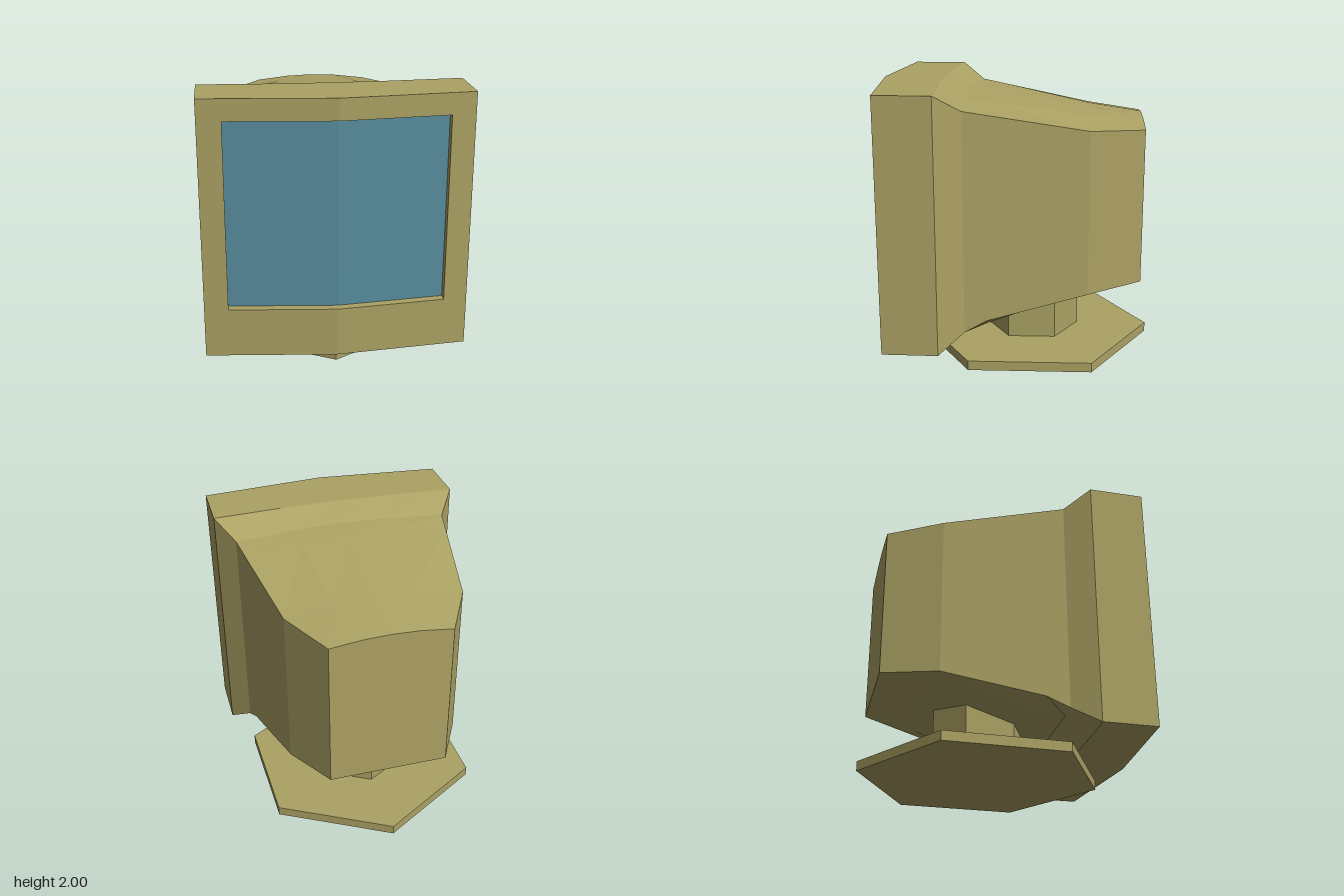
import * as THREE from 'three';

const casing = new THREE.MeshStandardMaterial({ color: 0xaca264, flatShading: true });
const glass = new THREE.MeshStandardMaterial({ color: 0x588d9e, flatShading: true });

// Skin a list of equal-length closed rings; collapsed rings make a fan
function loft(rings) {
  const pos = [];
  const tri = (a, b, c) => {
    if (a.equals(b) || b.equals(c) || a.equals(c)) return;
    for (const p of [a, b, c]) pos.push(p.x, p.y, p.z);
  };
  for (let i = 0; i < rings.length - 1; i++) {
    const f = rings[i], k = rings[i + 1], n = f.length;
    for (let j = 0; j < n; j++) {
      const m = (j + 1) % n;
      tri(f[j], f[m], k[m]);
      tri(f[j], k[m], k[j]);
    }
  }
  const g = new THREE.BufferGeometry();
  g.setAttribute('position', new THREE.Float32BufferAttribute(pos, 3));
  g.computeVertexNormals();
  return g;
}

const V = (x, y, z) => new THREE.Vector3(x, y, z);
const collapsed = (n, x, y, z) => Array.from({ length: n }, () => V(x, y, z));

// Housing cross-section: crowned top edge, then the belly from left to right
function section({ z, w, top, crown = 0, edge, belly, bulge = 0, power = 2 }) {
  const bow = t => z + bulge * (1 - Math.abs(t) ** power);
  return [
    ...[-1, -0.45, 0, 0.45, 1].map(t => V(t * w, top + crown * (1 - t * t), bow(t))),
    ...[1, 0.8, 0, -0.8, -1].map(t => V(t * w, Math.abs(t) === 1 ? edge : belly, bow(t))),
  ];
}

// Six-point rectangle folded along its vertical centre line
function foldedRect(w, y0, y1, inset) {
  const z = x => 0.91 + 0.085 * (1 - Math.abs(x) / 0.915) - inset;
  return [[-w, y1], [0, y1], [w, y1], [w, y0], [0, y0], [-w, y0]].map(([x, y]) => V(x, y, z(x)));
}

export function createModel() {
  const model = new THREE.Group();
  model.name = 'monitor';
  const add = (name, geometry, material = casing) => {
    const mesh = new THREE.Mesh(geometry, material);
    mesh.name = name;
    model.add(mesh);
    return mesh;
  };

  // Housing, front to back, closed by a flat rear panel
  const sections = [
    { z: 0.91, w: 0.915, top: 2, edge: 0.17, belly: 0.17, bulge: 0.085, power: 1 },
    { z: 0.51, w: 0.915, top: 2, edge: 0.17, belly: 0.17, bulge: 0.04 },
    { z: 0.335, w: 0.79, top: 1.88, crown: 0.025, edge: 0.3, belly: 0.3, bulge: 0.035 },
    { z: 0.18, w: 0.763, top: 1.852, crown: 0.03, edge: 0.38, belly: 0.305 },
    { z: -0.53, w: 0.635, top: 1.725, crown: 0.06, edge: 0.545, belly: 0.53 },
    { z: -0.915, w: 0.43, top: 1.7, crown: 0.035, edge: 0.58, belly: 0.58 },
  ].map(section);
  add('housing', loft([...sections, collapsed(10, 0, 1.14, -0.915)]));

  // Bezel with its recessed opening
  const recess = foldedRect(0.75, 0.52, 1.85, 0.06);
  add('bezel', loft([recess, foldedRect(0.75, 0.52, 1.85, 0), foldedRect(0.915, 0.17, 2, 0)]));

  // Screen
  add('screen', loft([collapsed(6, 0, 1.185, recess[1].z), recess]), glass);

  // Hexagonal stand
  for (const [name, radius, y0, y1] of [['neck', 0.35, 0.07, 0.56], ['base', 0.885, 0, 0.07]]) {
    const part = add(name, new THREE.CylinderGeometry(radius, radius, y1 - y0, 6));
    part.position.set(-0.004, (y0 + y1) / 2, -0.11);
    part.rotation.y = 0.02;
  }
  return model;
}
